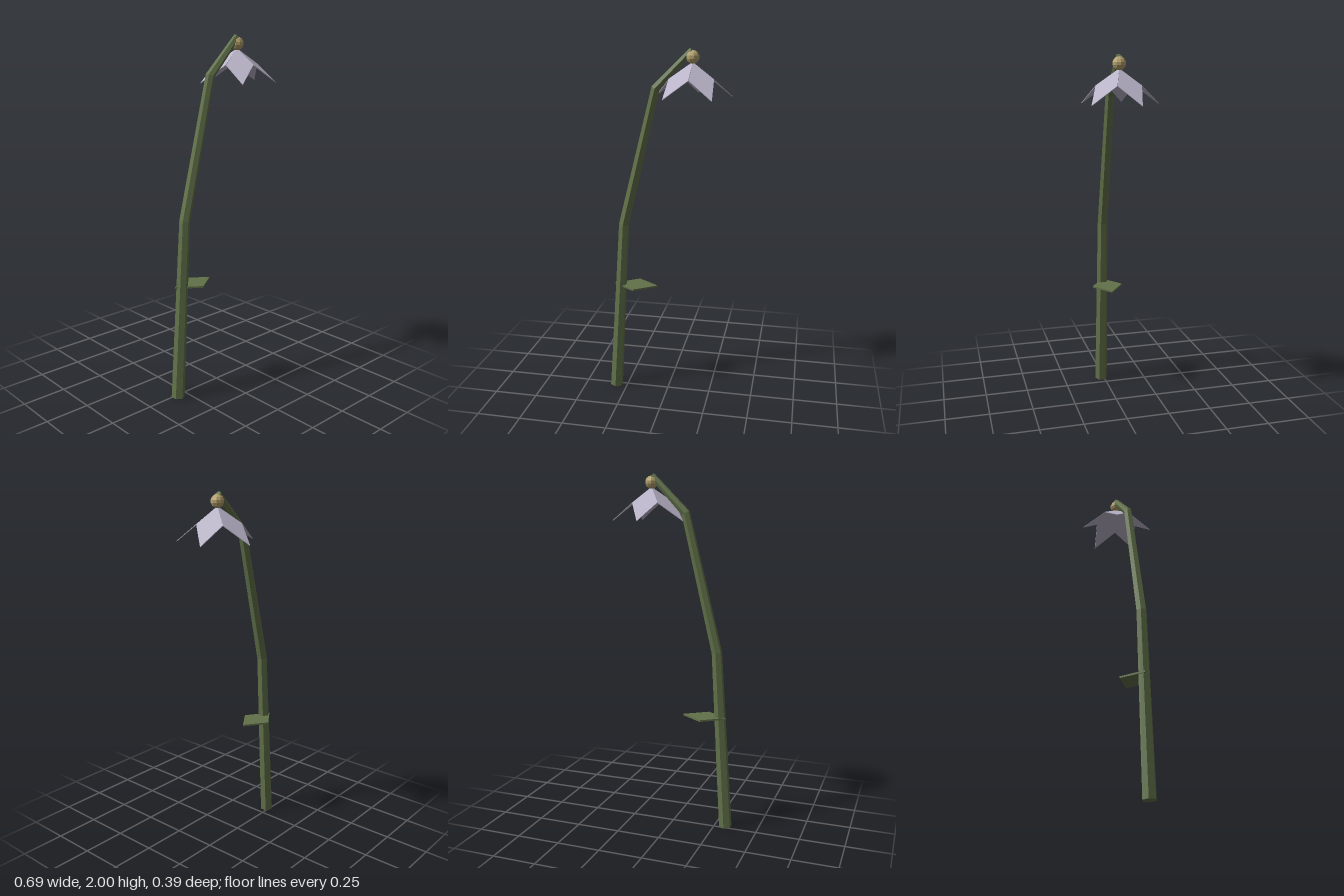
import * as THREE from 'three';

const Z = 0.019; // plane the stem bends in
const mat = (color) => new THREE.MeshStandardMaterial({ color, flatShading: true });

// Thin flat four-cornered blade lying in XZ, growing along +z, thickness downwards
function blade(halfWidth, shoulder, length, depth) {
  const shape = new THREE.Shape([
    new THREE.Vector2(0, 0), new THREE.Vector2(halfWidth, shoulder),
    new THREE.Vector2(0, length), new THREE.Vector2(-halfWidth, shoulder),
  ]);
  return new THREE.ExtrudeGeometry(shape, { depth, bevelEnabled: false }).rotateX(Math.PI / 2);
}

// Six-sided tapering tube with mitred bends; rows are [x, y, radius]
function stemGeometry(rows) {
  const pos = [], index = [], N = 6;
  const dir = (a, b) => new THREE.Vector2(b[0] - a[0], b[1] - a[1]).normalize();
  rows.forEach((row, i) => {
    const [x, y, r] = row;
    const t = new THREE.Vector2();
    if (i > 0) t.add(dir(rows[i - 1], row));
    if (i < rows.length - 1) t.add(dir(row, rows[i + 1]));
    t.normalize();
    for (let j = 0; j < N; j++) {
      const a = Math.PI / 6 + (j * Math.PI * 2) / N, c = r * Math.cos(a);
      pos.push(x + t.y * c, y - t.x * c, Z + r * Math.sin(a));
    }
  });
  const last = (rows.length - 1) * N;
  for (let i = 0; i < last; i += N) {
    for (let j = 0; j < N; j++) {
      const a = i + j, b = i + (j + 1) % N;
      index.push(a, a + N, b, b, a + N, b + N);
    }
  }
  for (let j = 1; j < N - 1; j++) {
    index.push(0, j, j + 1, last, last + j + 1, last + j);
  }
  const geo = new THREE.BufferGeometry();
  geo.setAttribute('position', new THREE.Float32BufferAttribute(pos, 3));
  geo.setIndex(index);
  const flat = geo.toNonIndexed();
  flat.computeVertexNormals();
  return flat;
}

export function createModel() {
  const group = new THREE.Group();
  const green = mat(0x62724a), lilac = mat(0xb9b3c8), gold = mat(0xb3a06c);
  lilac.side = THREE.DoubleSide;
  const add = (name, geo, material, parent = group) => {
    const mesh = new THREE.Mesh(geo, material);
    mesh.name = name;
    parent.add(mesh);
    return mesh;
  };

  // Drooping stem
  add('stem', stemGeometry([
    [-0.314, 0.002, 0.0375], [-0.25, 1.028, 0.03],
    [-0.064, 1.79, 0.025], [0.131, 1.99, 0.018],
  ]), green);

  // Single horizontal leaf pointing to +x
  const leaf = add('leaf', blade(0.0895, 0.127, 0.254, 0.01), green);
  leaf.rotation.y = Math.PI / 2;
  leaf.position.set(-0.313, 0.66, 0.006);

  // Hanging bell of five petals
  const flower = new THREE.Group();
  flower.name = 'flower';
  flower.position.set(0.135, 1.93, Z);
  group.add(flower);
  for (let i = 0; i < 5; i++) {
    const geo = blade(0.073, 0.1335, 0.2825, 0.004).rotateX(0.69);
    add('petal', geo, lilac, flower).rotation.y = Math.PI + (i * Math.PI * 2) / 5;
  }

  // Round bud joining the flower to the stem tip
  add('bud', new THREE.SphereGeometry(0.036, 10, 7), gold, flower).position.y = 0.025;

  return group;
}
